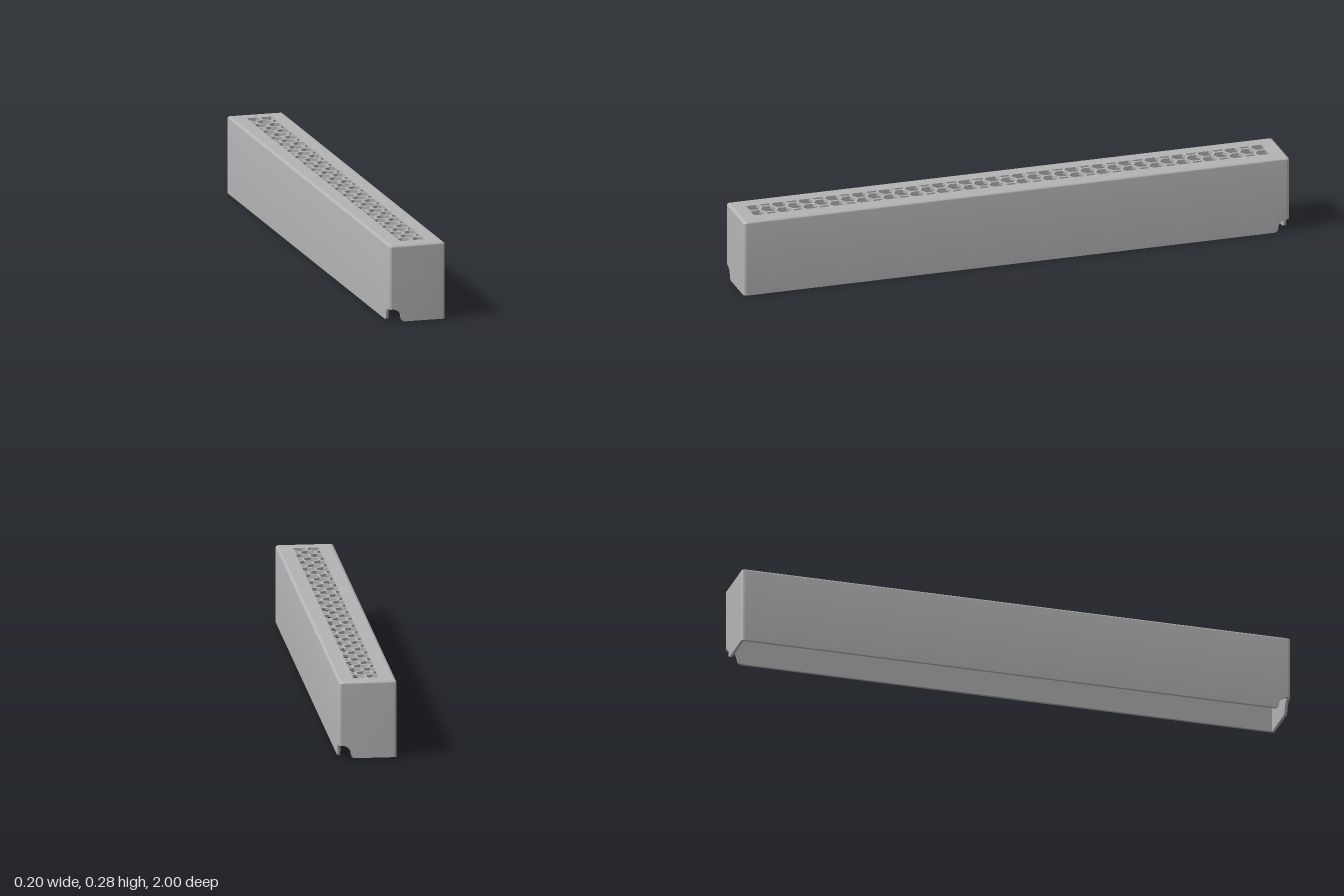
import * as THREE from 'three';
import { toCreasedNormals } from 'three/addons/utils/BufferGeometryUtils.js';

const W = 0.102, H = 0.275, L = 1;   // half width, height, half length
const T = 0.01;                      // wall thickness, also the edge radius
const STEPS = 6;
const SLOT_X = 0.045, SLOT_Z = 0.945; // bounds of the grille

// Bell-shaped cable notch: [distance from corner, height] pairs
function notchProfile() {
  const pts = [];
  for (let i = 0; i <= 8; i++) {
    const a = (i / 8) * Math.PI / 2;
    pts.push([0.012 + 0.031 * Math.sin(a), 0.014 + 0.031 * Math.cos(a)]);
  }
  for (let i = 1; i <= STEPS; i++) {
    const a = (i / STEPS) * Math.PI / 2;
    pts.push([0.057 - 0.014 * Math.cos(a), 0.014 - 0.014 * Math.sin(a)]);
  }
  return pts;
}

// Rounded rectangle seen from above, with the lower wall height at each point
function perimeter() {
  const ring = [];
  const dir = (a) => [Math.round(Math.cos(a)), -Math.round(Math.sin(a))];
  for (let k = 0; k < 4; k++) {
    const a0 = k * Math.PI / 2, n0 = dir(a0), n1 = dir(a0 + Math.PI / 2);
    const sx = n0[0] + n1[0], sz = n0[1] + n1[1];
    const notched = k % 2 === 0;
    const edge = notched ? notchProfile() : [[0.012, 0]];
    const at = (s, n, along, y) => ring.push({
      x: sx * W - along[0] * s, z: sz * L - along[1] * s, nx: n[0], nz: n[1], y,
    });
    for (const [s, y] of [...edge].reverse()) at(s, n0, n1, y);
    for (let i = 0; i <= STEPS; i++) {
      const a = a0 + (i / STEPS) * Math.PI / 2, nx = Math.cos(a), nz = -Math.sin(a);
      ring.push({
        x: sx * (W - T) + nx * T, z: sz * (L - T) + nz * T, nx, nz, y: notched ? 0.045 : 0,
      });
    }
    for (const [s, y] of edge) at(s, n1, n0, y);
  }
  return ring;
}

// Wall cross-section (inside, bottom edge, outside, rounded top) swept round the perimeter
function wallGeometry() {
  const ring = perimeter(), pos = [], index = [];
  for (const p of ring) {
    const section = [[T, H - T], [T, p.y], [0, p.y], [0, H - T - 0.002]];
    for (let i = 0; i <= STEPS; i++) {
      const a = (i / STEPS) * Math.PI / 2;
      section.push([T - T * Math.cos(a), H - T + T * Math.sin(a)]);
    }
    for (const [d, y] of section) pos.push(p.x - p.nx * d, y, p.z - p.nz * d);
  }
  const m = pos.length / 3 / ring.length;
  for (let i = 0; i < ring.length; i++) {
    const j = (i + 1) % ring.length;
    for (let k = 0; k < m - 1; k++) {
      const a = i * m + k, b = j * m + k;
      index.push(a, b, b + 1, a, b + 1, a + 1);
    }
  }
  const g = new THREE.BufferGeometry();
  g.setAttribute('position', new THREE.Float32BufferAttribute(pos, 3));
  g.setIndex(index);
  return toCreasedNormals(g, 0.6);
}

// Keep the part of a polygon where sign * point[axis] <= limit
function clip(poly, axis, sign, limit) {
  const out = [];
  poly.forEach((p, i) => {
    const q = poly[(i + 1) % poly.length];
    const dp = sign * p[axis] - limit, dq = sign * q[axis] - limit;
    if (dp <= 0) out.push(p);
    if (dp * dq < 0) out.push(p.clone().lerp(q, dp / (dp - dq)));
  });
  return out;
}

// Top plate pierced by a honeycomb that is trimmed to a rectangle
function grilleGeometry() {
  const x = W - T, z = L - T, pitch = 0.0563, row = 0.04875, R = 0.0235 / Math.cos(Math.PI / 6);
  const shape = new THREE.Shape([
    new THREE.Vector2(-x, -z), new THREE.Vector2(x, -z),
    new THREE.Vector2(x, z), new THREE.Vector2(-x, z),
  ]);
  for (let r = -19; r <= 19; r++) {
    const columns = r % 2 === 0 ? [-1, 0, 1] : [-0.5, 0.5];
    for (const c of columns) {
      let hex = [];
      for (let i = 0; i < 6; i++) {
        const a = Math.PI / 6 + i * Math.PI / 3;
        hex.push(new THREE.Vector2(c * pitch + R * Math.cos(a), r * row + R * Math.sin(a)));
      }
      for (const s of [-1, 1]) hex = clip(clip(hex, 'x', s, SLOT_X), 'y', s, SLOT_Z);
      if (hex.length > 2) shape.holes.push(new THREE.Path(hex));
    }
  }
  const g = new THREE.ExtrudeGeometry(shape, { depth: T, bevelEnabled: false });
  return g.rotateX(Math.PI / 2).translate(0, H, 0);
}

export function createModel() {
  const group = new THREE.Group();
  group.name = 'ventedCover';
  const grey = new THREE.MeshStandardMaterial({ color: 0xb3b3b3 });
  grey.name = 'grey';
  const add = (name, geometry) => {
    const mesh = new THREE.Mesh(geometry, grey);
    mesh.name = name;
    group.add(mesh);
    return mesh;
  };

  add('walls', wallGeometry());
  add('topGrille', grilleGeometry());

  // Small round studs along the inside of both long walls
  const stud = new THREE.CylinderGeometry(0.006, 0.008, 0.003, 16).rotateZ(-Math.PI / 2);
  for (const side of [-1, 1]) {
    for (const z of [-0.86, -0.286, 0.286, 0.86]) {
      const mesh = add('innerStud', stud);
      mesh.position.set(side * (W - T - 0.001), 0.13, z);
      mesh.rotation.y = side > 0 ? Math.PI : 0;
    }
  }
  return group;
}
